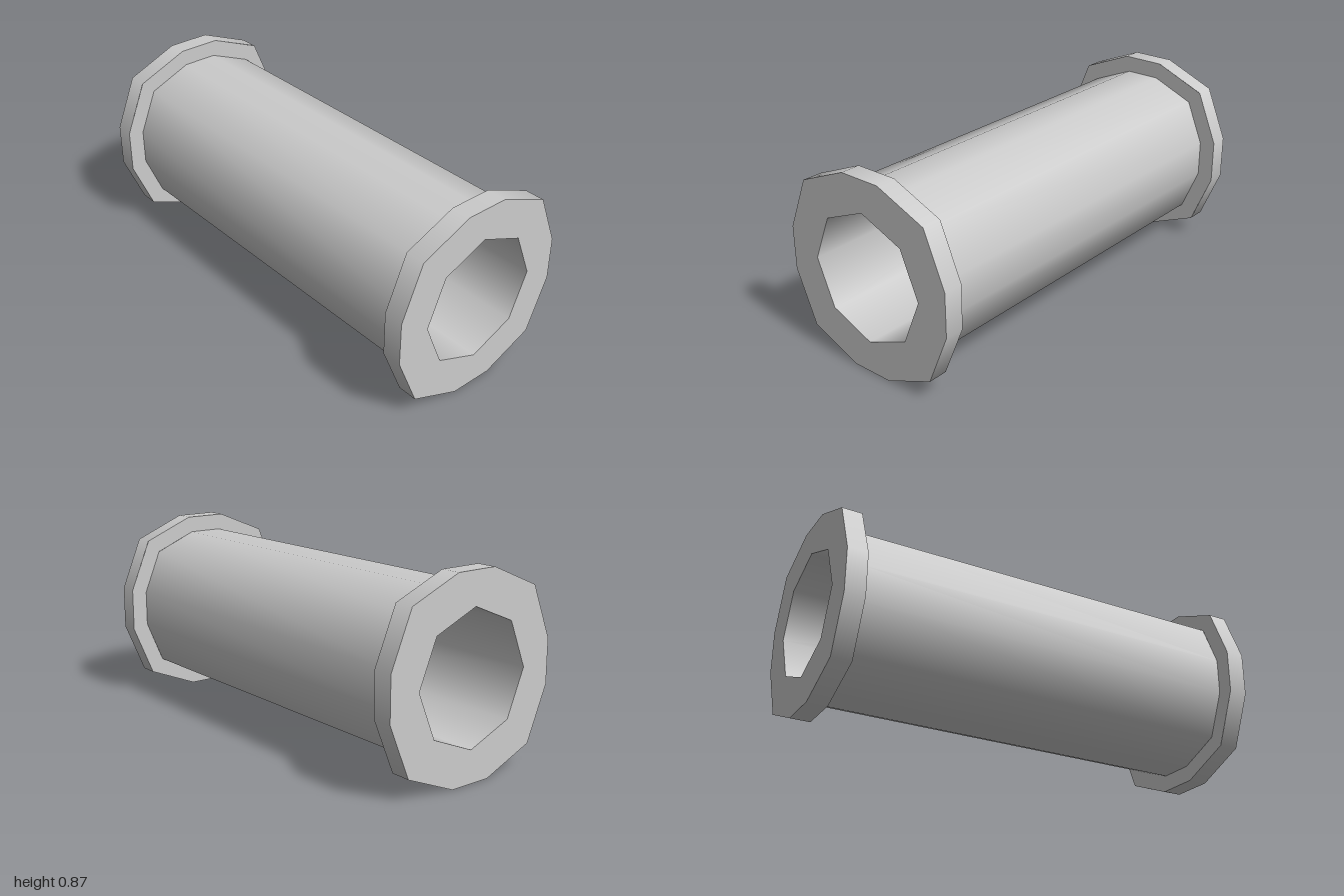
import * as THREE from 'three';
import { mergeGeometries } from 'three/addons/utils/BufferGeometryUtils.js';

const HALF = 1, FLANGE_IN = 0.91, CENTRE_Y = 0.437;

// Outlines, counter-clockwise around the axis
const quarter = [[0.437, 0.099], [0.338, 0.337], [0.099, 0.437]];
const flangeOutline = [];
for (let q = 0; q < 4; q++) {
  for (const [x, y] of quarter) {
    flangeOutline.push(new THREE.Vector2(x, y).rotateAround(new THREE.Vector2(), q * Math.PI / 2));
  }
}
const barrelOutline = flangeOutline.map(p => p.clone().multiplyScalar(0.361 / 0.437));
const boreOutline = Array.from({ length: 8 }, (_, i) =>
  new THREE.Vector2(Math.cos(i * Math.PI / 4), Math.sin(i * Math.PI / 4)).multiplyScalar(0.292));

// Open, smoothly shaded wall along z; inward = true makes it face the axis
function wall(outline, z0, z1, inward = false) {
  const pos = [], nor = [], idx = [], n = outline.length, s = inward ? -1 : 1;
  outline.forEach((p, i) => {
    const d = p.clone().normalize().multiplyScalar(s);
    pos.push(p.x, p.y, z0, p.x, p.y, z1);
    nor.push(d.x, d.y, 0, d.x, d.y, 0);
    const a = 2 * i, b = 2 * ((i + 1) % n);
    if (inward) idx.push(a, b + 1, b, a, a + 1, b + 1);
    else idx.push(a, b, b + 1, a, b + 1, a + 1);
  });
  const g = new THREE.BufferGeometry();
  g.setAttribute('position', new THREE.Float32BufferAttribute(pos, 3));
  g.setAttribute('normal', new THREE.Float32BufferAttribute(nor, 3));
  g.setIndex(idx);
  return g;
}

// Flat ring between two outlines, facing +z
function ring(outer, inner) {
  const shape = new THREE.Shape(outer);
  shape.holes.push(new THREE.Path(inner));
  return new THREE.ShapeGeometry(shape).deleteAttribute('uv');
}

export function createModel() {
  const model = new THREE.Group();
  model.name = 'spool';
  const material = new THREE.MeshStandardMaterial({ color: 0xcccccc });
  const add = (name, geometry) => {
    const mesh = new THREE.Mesh(geometry.rotateY(Math.PI / 2), material);
    mesh.name = name;
    mesh.position.y = CENTRE_Y;
    model.add(mesh);
  };

  // Barrel and the octagonal bore through it
  add('barrel', wall(barrelOutline, -FLANGE_IN, FLANGE_IN));
  add('bore', wall(boreOutline, -HALF, HALF, true));

  // End flanges: rim, outer face and inner shoulder
  const flange = mergeGeometries([
    wall(flangeOutline, FLANGE_IN, HALF),
    ring(flangeOutline, boreOutline).translate(0, 0, HALF),
    ring(flangeOutline, barrelOutline).rotateY(Math.PI).translate(0, 0, FLANGE_IN),
  ]);
  add('leftFlange', flange.clone());
  add('rightFlange', flange.clone().rotateY(Math.PI));

  return model;
}
